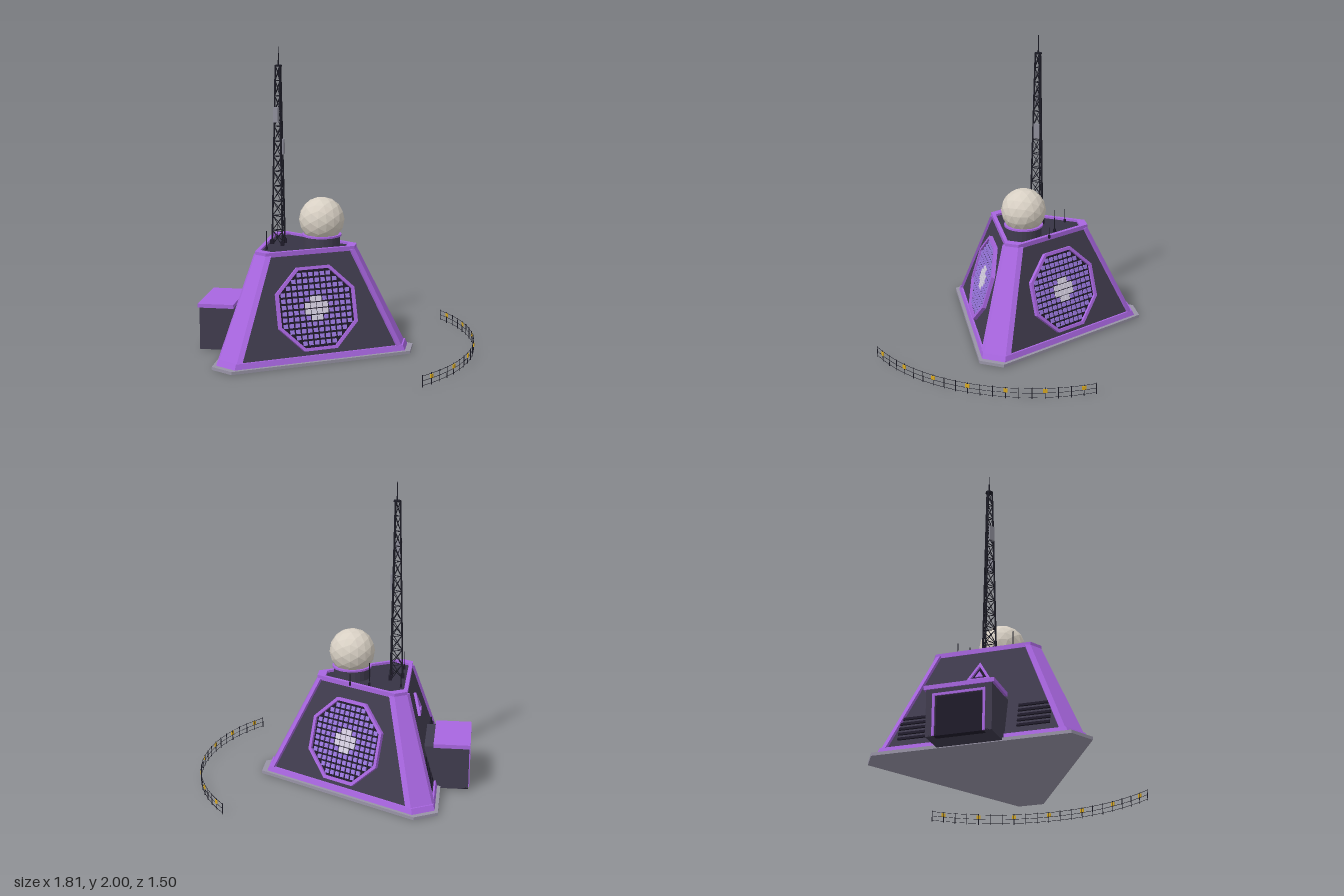
import * as THREE from 'three';
import { mergeGeometries } from 'three/addons/utils/BufferGeometryUtils.js';
import { ConvexGeometry } from 'three/addons/geometries/ConvexGeometry.js';

const mat = (color) => new THREE.MeshStandardMaterial({ color, flatShading: true });
const M = {
  wall: mat(0x403c4e), deck: mat(0x363344), dark: mat(0x1f1b2a), purple: mat(0xa866e0),
  cell: mat(0x9a78e0), lit: mat(0xd6d0e2), slab: mat(0x9894a6), dome: mat(0xd8d0c4),
  steel: mat(0x1c1c26), panel: mat(0x8c8c98), sign: mat(0xd8a820),
};
const CX = -0.265; // axis of the three-sided bunker
const V = (x, y, z) => new THREE.Vector3(x, y, z);
const THIRD = (Math.PI * 2) / 3;

function add(parent, name, geo, material, x = 0, y = 0, z = 0) {
  const m = new THREE.Mesh(geo, material);
  m.name = name;
  m.position.set(x, y, z);
  parent.add(m);
  return m;
}
const box = (w, h, d, x = 0, y = 0, z = 0) => new THREE.BoxGeometry(w, h, d).translate(x, y, z);

// Thin straight bar between two points
function rod(a, b, r, sides = 4) {
  const dir = b.clone().sub(a);
  const g = new THREE.CylinderGeometry(r, r, dir.length(), sides);
  g.applyQuaternion(new THREE.Quaternion().setFromUnitVectors(V(0, 1, 0), dir.normalize()));
  return g.translate((a.x + b.x) / 2, (a.y + b.y) / 2, (a.z + b.z) / 2);
}

// Triangle with cut corners: a = distance to a cut, b = half its width
function triPlan(a, b) {
  const pts = [];
  for (let k = 0; k < 3; k++) {
    const c = Math.cos(k * THIRD), s = Math.sin(k * THIRD);
    for (const w of [-b, b]) pts.push(new THREE.Vector2(a * c - w * s, a * s + w * c));
  }
  return pts;
}
const frustum = (a0, b0, y0, a1, b1, y1) => new ConvexGeometry([
  ...triPlan(a0, b0).map((p) => V(p.x, y0, p.y)),
  ...triPlan(a1, b1).map((p) => V(p.x, y1, p.y)),
]);
const ngon = (n, r, turn) => Array.from({ length: n }, (_, i) => {
  const t = turn + (i * Math.PI * 2) / n;
  return new THREE.Vector2(r * Math.cos(t), r * Math.sin(t));
});
function frame(outer, inner, depth) {
  const s = new THREE.Shape(outer);
  if (inner) s.holes.push(new THREE.Path(inner));
  return new THREE.ExtrudeGeometry(s, { depth, bevelEnabled: false });
}

// Group lying on a sloping wall: local z points out, y up the slope
const SLOPE = 0.291;
function wallGroup(name, angle, y) {
  const g = new THREE.Group(), d = 0.4075 - SLOPE * (y - 0.06);
  g.name = name;
  g.position.set(CX + d * Math.cos(angle), y, d * Math.sin(angle));
  g.rotation.set(-Math.atan(SLOPE), Math.PI / 2 - angle, 0, 'YXZ');
  return g;
}

function buildBunker(root) {
  const g = new THREE.Group();
  g.name = 'bunker';
  g.position.x = CX;
  root.add(g);
  add(g, 'foundationSlab', frustum(0.755, 0.085, 0.005, 0.755, 0.085, 0.025), M.slab);
  add(g, 'plinth', frustum(0.72, 0.08, 0.025, 0.705, 0.078, 0.06), M.purple);
  add(g, 'walls', frustum(0.685, 0.075, 0.06, 0.37, 0.045, 0.69), M.wall);
  // Corner strips wrapping the cut edges
  for (let k = 0; k < 3; k++) {
    const pts = [];
    for (const [a, b, y] of [[0.685, 0.075, 0.06], [0.37, 0.045, 0.69]])
      for (const s of [-1, 1]) pts.push(V(a + 0.01, y, s * b), V(a - 0.012, y, s * (b + 0.028)), V(a - 0.04, y, s * b));
    add(g, 'cornerStrip', new ConvexGeometry(pts), M.purple).rotation.y = k * THIRD;
  }
  add(g, 'parapet', frame(triPlan(0.38, 0.046), triPlan(0.325, 0.049), 0.03).rotateX(-Math.PI / 2), M.purple, 0, 0.68);
  add(g, 'roofDeck', frustum(0.34, 0.049, 0.685, 0.34, 0.049, 0.695), M.deck);
}

function buildArray(angle) {
  const g = wallGroup('phasedArray', angle, 0.345);
  const R = 0.292, t = Math.PI / 8;
  add(g, 'arrayFrame', frame(ngon(8, R, t), ngon(8, R - 0.022, t), 0.03), M.purple, 0, 0, -0.005);
  add(g, 'arrayPlate', frame(ngon(8, R - 0.01, t), null, 0.012), M.dark, 0, 0, -0.004);
  const cells = [], lit = [];
  for (let i = -5.5; i < 6; i++) for (let j = -5.5; j < 6; j++) {
    const x = i * 0.04, y = j * 0.04;
    if (Math.abs(x) + Math.abs(y) > 0.325) continue;
    const on = Math.hypot(x, y) < 0.075, s = on ? 0.034 : 0.027;
    (on ? lit : cells).push(box(s, s, 0.01, x, y, 0.012));
  }
  add(g, 'arrayCells', mergeGeometries(cells), M.cell);
  add(g, 'centreCells', mergeGeometries(lit), M.lit);
  return g;
}

function buildRear(root) {
  // Triangular plaque and vents on the rear wall
  const plaque = wallGroup('triangularPlaque', Math.PI, 0.505);
  add(plaque, 'plaqueFrame', frame(ngon(3, 0.092, Math.PI / 2), ngon(3, 0.06, Math.PI / 2), 0.018), M.purple);
  add(plaque, 'plaqueBack', frame(ngon(3, 0.075, Math.PI / 2), null, 0.005), M.dark);
  add(plaque, 'plaqueCentre', frame(ngon(3, 0.03, Math.PI / 2), null, 0.012), M.purple);
  root.add(plaque);
  const vents = wallGroup('vents', Math.PI, 0.18);
  for (const s of [-1, 1]) for (let i = -2; i <= 2; i++)
    add(vents, 'ventSlat', box(0.2, 0.016, 0.012), M.dark, s * 0.37, i * 0.036, 0.003);
  root.add(vents);

  // Entrance annex with a recessed door
  const a = new THREE.Group();
  a.name = 'annex';
  root.add(a);
  add(a, 'annexBody', box(0.25, 0.29, 0.4), M.wall, -0.73, 0.155);
  add(a, 'door', box(0.01, 0.25, 0.3), M.dark, -0.857, 0.135);
  add(a, 'lintel', box(0.045, 0.04, 0.4), M.wall, -0.875, 0.28);
  add(a, 'lintelTrim', box(0.008, 0.015, 0.32), M.purple, -0.9, 0.262);
  for (const s of [-1, 1]) {
    add(a, 'jamb', box(0.045, 0.25, 0.05), M.wall, -0.875, 0.135, s * 0.175);
    add(a, 'jambTrim', box(0.008, 0.26, 0.015), M.purple, -0.9, 0.14, s * 0.153);
  }
  add(a, 'threshold', box(0.045, 0.01, 0.4), M.dark, -0.875, 0.015);
  add(a, 'annexRoof', box(0.24, 0.026, 0.43), M.purple, -0.785, 0.31);
}

function buildRoof(root) {
  // Radome on its pedestal
  const d = new THREE.Group();
  d.name = 'radome';
  d.position.x = -0.11;
  root.add(d);
  add(d, 'pedestal', new THREE.CylinderGeometry(0.122, 0.122, 0.08, 24), M.wall, 0, 0.73);
  add(d, 'pedestalRing', new THREE.CylinderGeometry(0.13, 0.13, 0.012, 24), M.purple, 0, 0.77);
  add(d, 'domeSphere', new THREE.IcosahedronGeometry(0.15, 2), M.dome, 0, 0.872);
  // Whip aerials
  for (const [x, z, h] of [[-0.445, 0.18, 0.12], [-0.445, -0.18, 0.09], [-0.24, -0.175, 0.15], [-0.115, -0.18, 0.07]]) {
    add(root, 'whipAerial', rod(V(x, 0.69, z), V(x, 0.7 + h, z), 0.0025), M.steel);
    add(root, 'aerialFoot', box(0.014, 0.02, 0.014), M.dark, x, 0.705, z);
  }
}

function buildMast() {
  const g = new THREE.Group();
  g.name = 'latticeMast';
  g.position.x = -0.392;
  const y0 = 0.69, y1 = 1.88, bays = 12;
  const node = (k, f) => {
    const t = Math.PI + k * THIRD, r = 0.052 + (0.02 - 0.052) * f;
    return V(r * Math.cos(t), y0 + (y1 - y0) * f, r * Math.sin(t));
  };
  const legs = [], braces = [];
  for (let k = 0; k < 3; k++) {
    legs.push(rod(node(k, 0), node(k, 1), 0.006, 6));
    const foot = node(k, 0);
    add(g, 'mastFoot', box(0.024, 0.03, 0.024), M.dark, foot.x, 0.71, foot.z);
    for (let i = 0; i < bays; i++) {
      const f = i / bays, e = (i + 1) / bays;
      braces.push(rod(node(k, e), node(k + 1, e), 0.003), rod(node(k, f), node(k + 1, e), 0.0025), rod(node(k + 1, f), node(k, e), 0.0025));
    }
  }
  add(g, 'mastLegs', mergeGeometries(legs), M.steel);
  add(g, 'mastBraces', mergeGeometries(braces), M.steel);
  add(g, 'mastCap', new THREE.CylinderGeometry(0.025, 0.025, 0.01, 6), M.steel, 0, 1.877);
  add(g, 'mastSpike', new THREE.CylinderGeometry(0.002, 0.005, 0.12, 6), M.steel, 0, 1.94);
  // Sector antennas
  for (const [angle, y] of [[0, 1.35], [THIRD, 1.56]])
    add(g, 'sectorAntenna', box(0.04, 0.1, 0.012), M.panel, 0.028 * Math.cos(angle), y, 0.028 * Math.sin(angle)).rotation.y = Math.PI / 2 - angle;
  return g;
}

function buildFence() {
  const g = new THREE.Group();
  g.name = 'perimeterFence';
  const at = (deg, y, r = 1.165) => {
    const t = (deg * Math.PI) / 180;
    return V(CX + r * Math.cos(t), y, r * Math.sin(t));
  };
  const bars = [];
  for (let deg = -40; deg <= 40; deg += 4) {
    bars.push(rod(at(deg, 0.005), at(deg, 0.082), 0.0025));
    if (deg < 40) for (const y of [0.015, 0.045, 0.076]) bars.push(rod(at(deg, y), at(deg + 4, y), 0.0015));
    if (deg % 12 === 0) {
      const p = at(deg, 0.06, 1.167);
      add(g, 'warningSign', box(0.006, 0.024, 0.026), M.sign, p.x, p.y, p.z).rotation.y = (-deg * Math.PI) / 180;
    }
  }
  add(g, 'postsAndRails', mergeGeometries(bars), M.steel);
  return g;
}

export function createModel() {
  const root = new THREE.Group();
  root.name = 'radarStation';
  buildBunker(root);
  for (const s of [-1, 1]) root.add(buildArray((s * Math.PI) / 3));
  buildRear(root);
  buildRoof(root);
  root.add(buildMast(), buildFence());
  return root;
}
